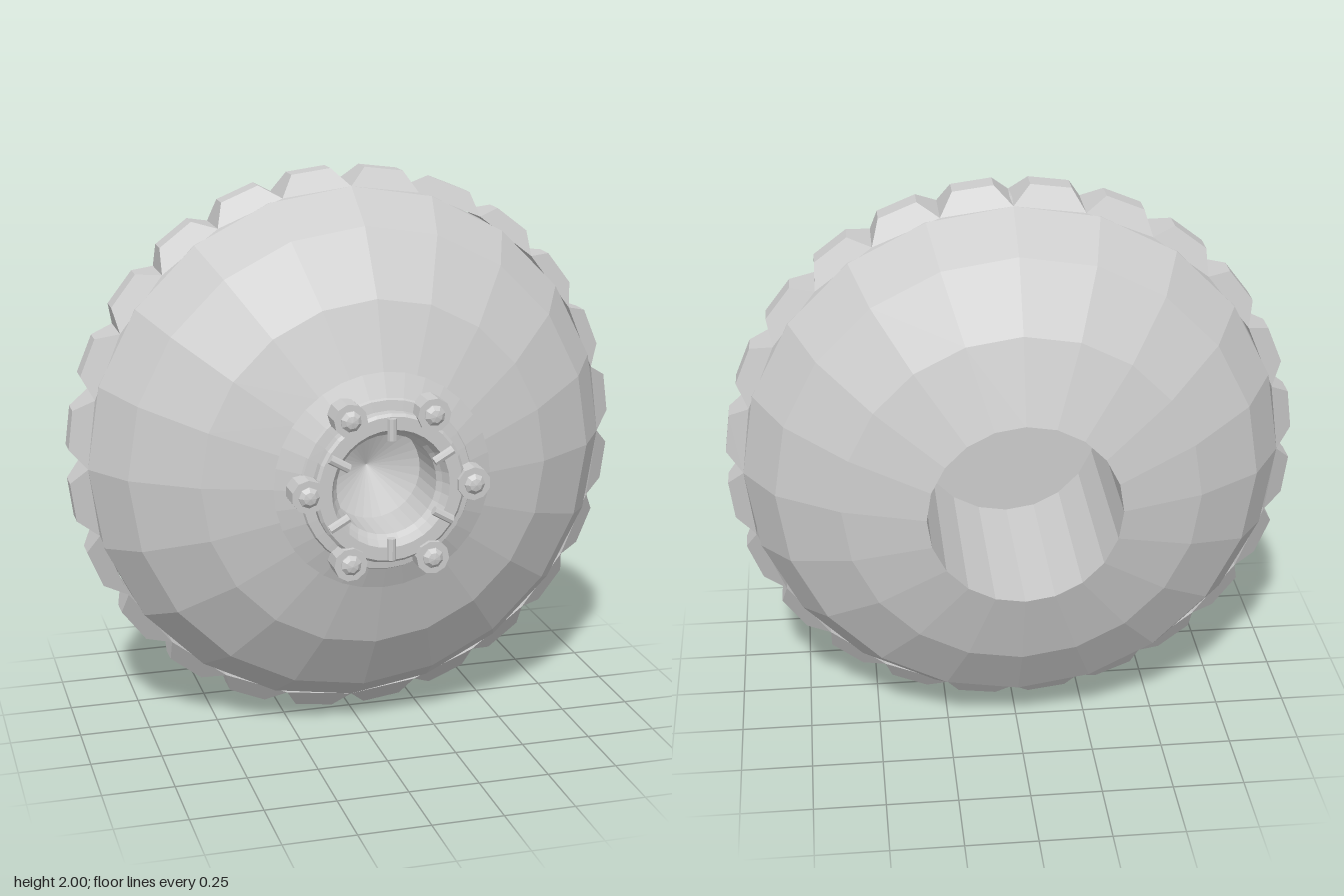
import * as THREE from 'three';

const material = new THREE.MeshStandardMaterial({ color: 0xcccccc, flatShading: true });

function addMesh(parent, name, geometry) {
  const mesh = new THREE.Mesh(geometry, material);
  mesh.name = name;
  parent.add(mesh);
  return mesh;
}

// Revolves [radius, z] pairs around the z axis
function revolve(profile, sides) {
  const points = profile.map(([r, z]) => new THREE.Vector2(r, z));
  return new THREE.LatheGeometry(points, sides).rotateX(Math.PI / 2);
}

// Tread block: a box tapered toward the outer radius
function treadBlock() {
  const geometry = new THREE.BoxGeometry(1, 1, 1);
  const p = geometry.attributes.position;
  for (let i = 0; i < p.count; i++) {
    const outer = p.getY(i) > 0;
    const radius = outer ? 1 : 0.94;
    const angle = Math.sign(p.getX(i)) * THREE.MathUtils.degToRad(outer ? 4 : 7.5);
    const z = -0.06 + Math.sign(p.getZ(i)) * (outer ? 0.04 : 0.09);
    p.setXYZ(i, radius * Math.sin(angle), radius * Math.cos(angle), z);
  }
  geometry.computeVertexNormals();
  return geometry;
}

export function createModel() {
  const model = new THREE.Group();
  model.name = 'wheel';
  const wheel = new THREE.Group();
  wheel.name = 'wheelAssembly';
  wheel.position.y = 1;
  model.add(wheel);

  // Tyre with a deep axle recess at the back
  addMesh(wheel, 'tyre', revolve([
    [0, 0.1], [0.33, 0.1], [0.33, -0.56], [0.61, -0.47], [0.83, -0.33],
    [0.94, -0.15], [0.945, -0.06], [0.94, 0.03], [0.83, 0.2], [0.61, 0.35],
    [0.37, 0.43], [0.3, 0.43],
  ], 20));

  // Tread blocks, meeting in a notch at the top
  const block = treadBlock();
  for (let i = 0; i < 24; i++) {
    addMesh(wheel, 'treadBlock', block).rotation.z = ((i + 0.5) / 24) * Math.PI * 2;
  }

  // Hub flange, raised ring and central dish
  addMesh(wheel, 'hub', revolve([
    [0.36, 0.41], [0.38, 0.43], [0.3, 0.465], [0.295, 0.475], [0.26, 0.48],
    [0.26, 0.515], [0.25, 0.525], [0.205, 0.525], [0.19, 0.49], [0.175, 0.47],
    [0.17, 0.3], [0, 0.22],
  ], 32));

  // Bolts in round bosses, with small radial pins between them
  const boss = new THREE.CylinderGeometry(0.058, 0.058, 0.09, 10).rotateX(Math.PI / 2);
  const bolt = revolve([[0.036, 0.53], [0.036, 0.545], [0.022, 0.558], [0, 0.562]], 8);
  const pin = new THREE.CylinderGeometry(0.016, 0.016, 0.075, 8).rotateZ(Math.PI / 2);
  for (let i = 0; i < 6; i++) {
    const bossGroup = new THREE.Group();
    bossGroup.name = 'boltStation';
    bossGroup.rotation.z = (i * Math.PI) / 3;
    wheel.add(bossGroup);
    addMesh(bossGroup, 'boltBoss', boss).position.set(0.287, 0, 0.495);
    addMesh(bossGroup, 'boltHead', bolt).position.x = 0.287;

    const pinGroup = new THREE.Group();
    pinGroup.name = 'pinStation';
    pinGroup.rotation.z = ((i + 0.5) * Math.PI) / 3;
    wheel.add(pinGroup);
    addMesh(pinGroup, 'hubPin', pin).position.set(0.208, 0, 0.529);
  }
  return model;
}
